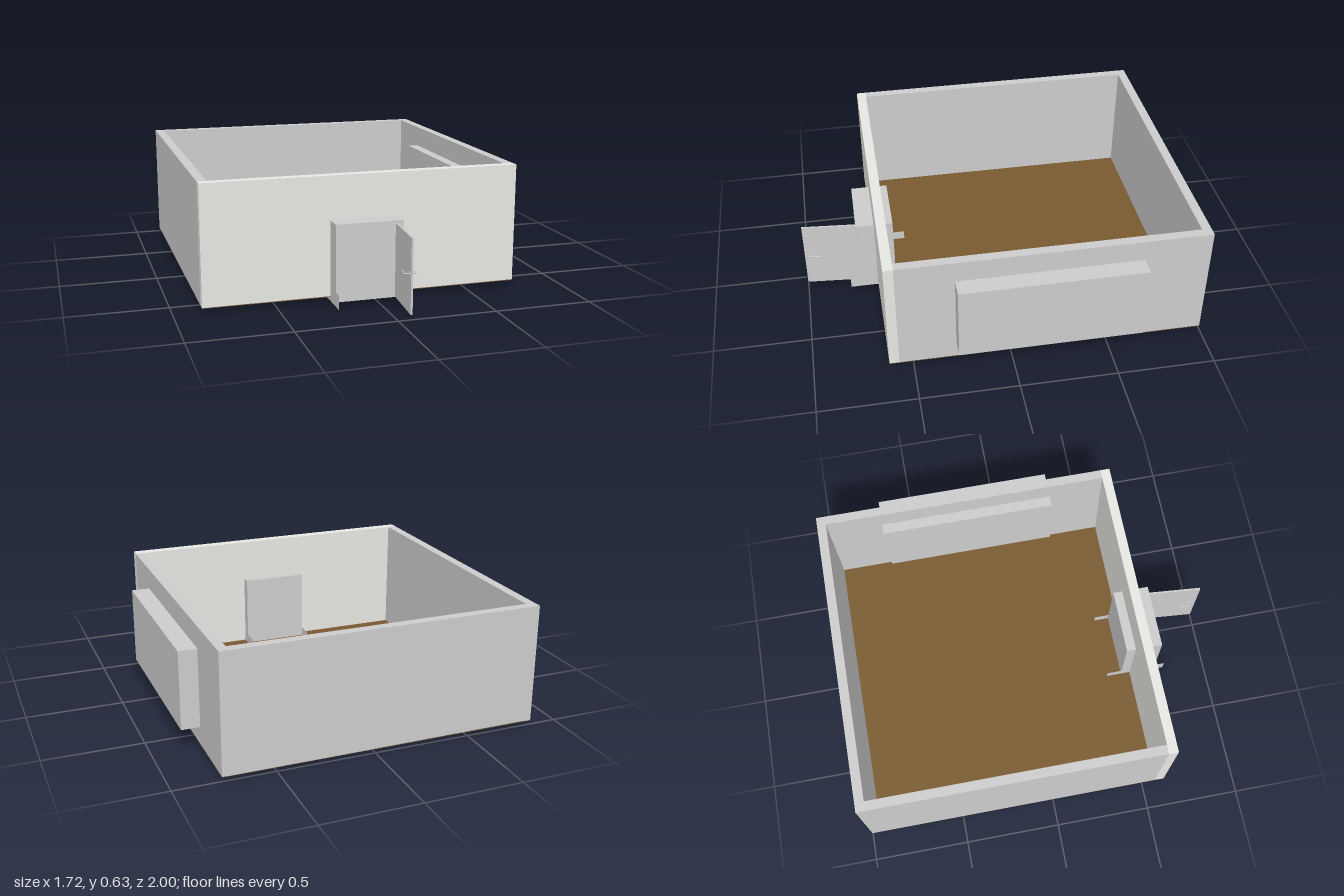
import * as THREE from 'three';

const grey = new THREE.MeshStandardMaterial({ color: 0xcccccc });
const pale = new THREE.MeshStandardMaterial({ color: 0xe6e6e2 });
const brown = new THREE.MeshStandardMaterial({ color: 0x795a30 });
const thin = new THREE.MeshStandardMaterial({ color: 0xcccccc, side: THREE.DoubleSide });

// Box given by its min and max on each axis
function block(parent, name, [x0, x1], [y0, y1], [z0, z1], material = grey) {
  const mesh = new THREE.Mesh(new THREE.BoxGeometry(x1 - x0, y1 - y0, z1 - z0), material);
  mesh.position.set((x0 + x1) / 2, (y0 + y1) / 2, (z0 + z1) / 2);
  mesh.name = name;
  parent.add(mesh);
  return mesh;
}

export function createModel() {
  const model = new THREE.Group();
  model.name = 'room';
  const height = [0.022, 0.633];

  // Floor and open-topped walls
  block(model, 'floor', [-0.86, 0.763], [0.02, 0.024], [-1, 0.622], brown);
  block(model, 'rightWall', [-0.86, -0.812], height, [-1, 0.572]);
  block(model, 'leftWall', [0.715, 0.763], height, [-1, 0.572]);
  block(model, 'backWall', [-0.812, 0.715], height, [-1, -0.952]);
  block(model, 'frontWall', [-0.86, 0.763], height, [0.572, 0.622], pale);

  // Blocks passing through the walls
  block(model, 'windowBlock', [0.659, 0.857], [0.117, 0.519], [-0.66, 0.281]);
  block(model, 'doorwayBlock', [-0.221, 0.124], [0.021, 0.411], [0.522, 0.716]);

  // Thin low plates at both sides of the doorway
  for (const x of [-0.221, 0.124]) {
    const plate = new THREE.Mesh(new THREE.PlaneGeometry(0.33, 0.073), thin);
    plate.rotation.y = Math.PI / 2;
    plate.position.set(x + Math.sign(x) * 0.0005, 0.0365, 0.605);
    plate.name = 'doorwayPlate';
    model.add(plate);
  }

  // Open door, its free edge at the group's origin
  const door = new THREE.Group();
  door.name = 'door';
  door.position.set(0.065, 0, 0.9995);
  door.rotation.y = -0.083;
  model.add(door);
  block(door, 'doorPanel', [-0.005, 0.005], [0.024, 0.398], [-0.33, 0]);

  // Handle on both faces: rosette, spindle, lever
  const handleY = 0.218, handleZ = -0.031;
  for (const side of [-1, 1]) {
    const rosette = new THREE.Mesh(new THREE.CylinderGeometry(1, 1, 0.004, 20), grey);
    rosette.rotation.z = Math.PI / 2;
    rosette.scale.set(0.009, 1, 0.02);
    rosette.position.set(side * 0.007, handleY, handleZ);
    rosette.name = 'handleRosette';
    const path = new THREE.CurvePath();
    const p = [[0.005, handleZ], [0.027, handleZ], [0.027, handleZ - 0.055]]
      .map(([x, z]) => new THREE.Vector3(side * x, handleY, z));
    path.add(new THREE.LineCurve3(p[0], p[1]));
    path.add(new THREE.LineCurve3(p[1], p[2]));
    const lever = new THREE.Mesh(new THREE.TubeGeometry(path, 24, 0.003, 8), thin);
    lever.name = 'handleLever';
    door.add(rosette, lever);
  }
  return model;
}
